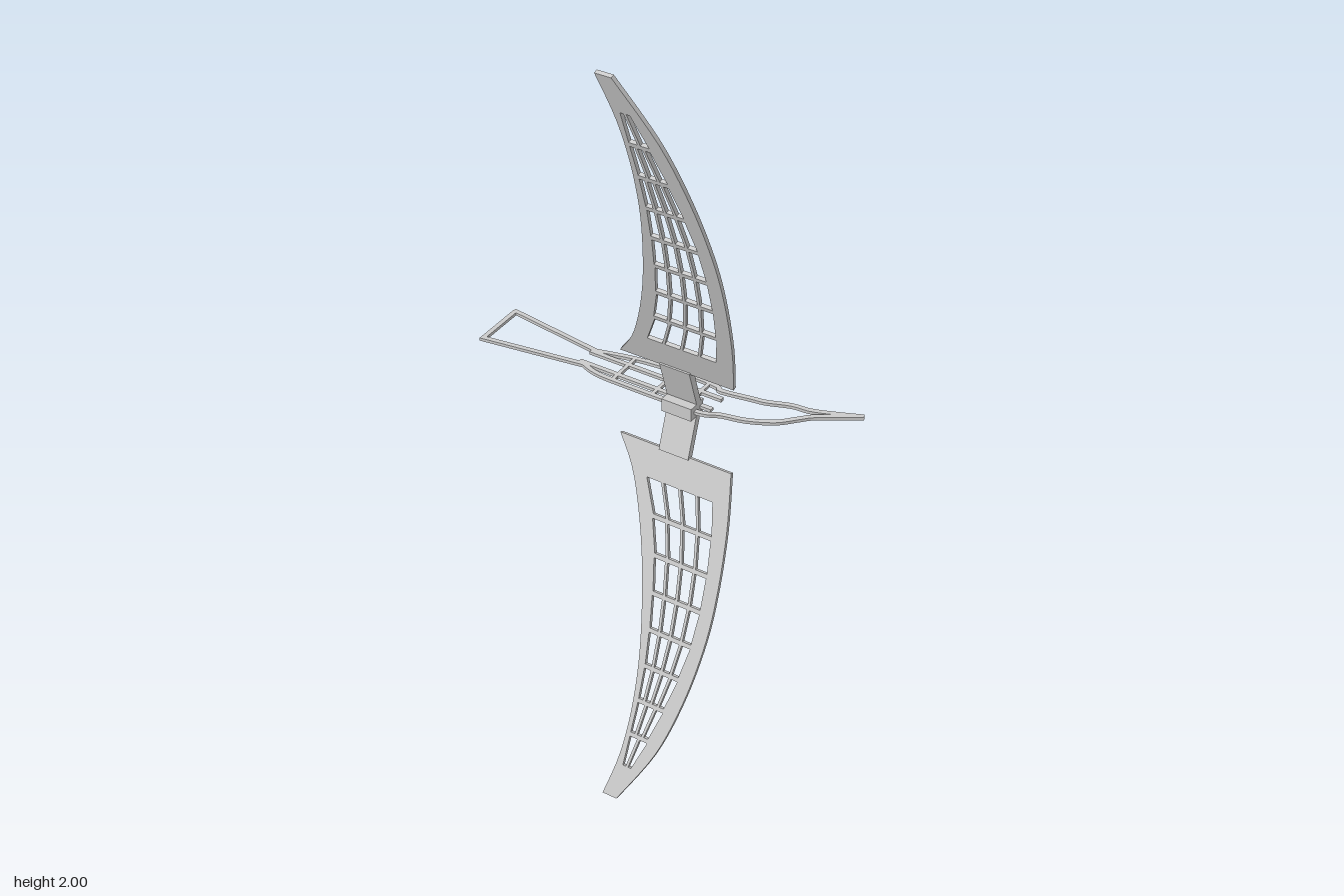
import * as THREE from 'three';

const mat = new THREE.MeshStandardMaterial({ color: 0xcccccc, flatShading: true });
const V = (p) => new THREE.Vector2(p[0], p[1]);

function addMesh(parent, name, geometry) {
  const mesh = new THREE.Mesh(geometry, mat);
  mesh.name = name;
  parent.add(mesh);
  return mesh;
}

// Flat strip of constant width along a path, lying in the xz plane
function strip(path, { curved = false, closed = false, width = 0.012 } = {}) {
  let pts = path.map(V);
  if (curved) pts = new THREE.SplineCurve(pts).getPoints(40);
  const n = pts.length;
  const side = (sign) => pts.map((p, i) => {
    const a = pts[closed ? (i + n - 1) % n : Math.max(i - 1, 0)];
    const b = pts[closed ? (i + 1) % n : Math.min(i + 1, n - 1)];
    const d1 = p.clone().sub(a).normalize(), d2 = b.clone().sub(p).normalize();
    const t = d1.clone().add(d2).normalize();
    const ref = d1.lengthSq() ? d1 : d2;
    const miter = (sign * width) / 2 / Math.max(t.dot(ref), 0.4);
    return new THREE.Vector2(p.x - t.y * miter, p.y + t.x * miter);
  });
  let shape;
  if (closed) {
    shape = new THREE.Shape(side(1));
    shape.holes.push(new THREE.Path(side(-1)));
  } else {
    shape = new THREE.Shape([...side(1), ...side(-1).reverse()]);
  }
  const depth = 0.008;
  return new THREE.ExtrudeGeometry(shape, { depth, bevelEnabled: false })
    .rotateX(Math.PI / 2).translate(0, 1 + depth / 2, 0);
}

// Wing outline with a grid of openings; heights are measured above the hub
const K = 1.053; // length along the tilted wing per unit of height
const leftEdge = [[0.063, 1], [0.09, 0.88], [0.098, 0.74], [0.086, 0.58], [0.047, 0.38], [-0.01, 0.21], [-0.067, 0.12]];
const rightEdge = [[0.236, 0.12], [0.255, 0.26], [0.262, 0.42], [0.255, 0.55], [0.229, 0.7], [0.183, 0.85], [0.103, 1]];
const gridLeft = [0.02, 0.055, 0.078, 0.092, 0.102, 0.108, 0.108, 0.104, 0.1];
const gridRight = [0.207, 0.222, 0.229, 0.23, 0.224, 0.208, 0.186, 0.16, 0.13];
const columns = [4, 4, 4, 4, 4, 4, 3, 2];

function wingGeometry() {
  const along = ([x, y]) => new THREE.Vector2(x, y * K);
  const edge = (pts) => new THREE.SplineCurve(pts.map(along)).getPoints(30);
  const shape = new THREE.Shape([...edge(rightEdge), ...edge(leftEdge)]);
  columns.forEach((count, row) => {
    const y0 = 0.2 + row * 0.09, y1 = y0 + 0.079;
    for (let c = 0; c < count; c++) {
      const at = (r, f) => THREE.MathUtils.lerp(gridLeft[r], gridRight[r], f);
      const gap = 0.0035, f0 = c / count, f1 = (c + 1) / count;
      shape.holes.push(new THREE.Path([
        [at(row, f0) + gap, y0], [at(row + 1, f0) + gap, y1],
        [at(row + 1, f1) - gap, y1], [at(row, f1) - gap, y0],
      ].map(along)));
    }
  });
  return new THREE.ExtrudeGeometry(shape, { depth: 0.01, bevelEnabled: false }).translate(0, 0, -0.005);
}

export function createModel() {
  const group = new THREE.Group();
  group.name = 'birdGlider';

  // Body frame
  const body = new THREE.Group();
  body.name = 'bodyFrame';
  group.add(body);
  addMesh(body, 'tail', strip([[-0.462, -0.177], [-0.462, -0.041], [-0.2, -0.079]]));
  addMesh(body, 'tailTop', strip([[-0.467, -0.178], [-0.2, -0.14]]));
  addMesh(body, 'backOutline', strip([[-0.205, -0.14], [-0.125, -0.16], [-0.06, -0.17], [0.01, -0.174],
    [0.08, -0.173], [0.12, -0.168], [0.135, -0.16], [0.21, -0.172], [0.245, -0.178], [0.3, -0.198],
    [0.347, -0.203], [0.4, -0.222], [0.462, -0.248]], { curved: true }));
  addMesh(body, 'bellyOutline', strip([[-0.205, -0.083], [-0.15, -0.064], [-0.06, -0.061], [0.04, -0.061],
    [0.135, -0.06], [0.18, -0.078], [0.24, -0.092], [0.3, -0.122], [0.34, -0.162], [0.37, -0.19],
    [0.462, -0.248]], { curved: true }));
  for (const z of [-0.133, -0.086]) {
    addMesh(body, 'rail', strip([[-0.213, z], [0.152, z]]));
  }
  for (const [x, top] of [[-0.106, -0.162], [0.004, -0.173], [0.094, -0.172]]) {
    addMesh(body, 'crossBar', strip([[x, top], [x, -0.06]], { width: 0.009 }));
  }

  // Hub holding both wings
  addMesh(group, 'hub', new THREE.BoxGeometry(0.08, 0.034, 0.054)).position.set(0.083, 1, -0.068);

  // Wings swing from the hub, one up and one down
  const tilt = 0.319;
  const geometry = wingGeometry();
  for (const [name, angle] of [['leftWing', tilt], ['rightWing', Math.PI - tilt]]) {
    const wing = new THREE.Group();
    wing.name = name;
    wing.position.set(0, 1, -0.08);
    wing.rotation.x = angle;
    addMesh(wing, 'wingPanel', geometry);
    addMesh(wing, 'wingArm', new THREE.BoxGeometry(0.08, 0.13, 0.018)).position.set(0.083, 0.067, 0);
    group.add(wing);
  }
  return group;
}
